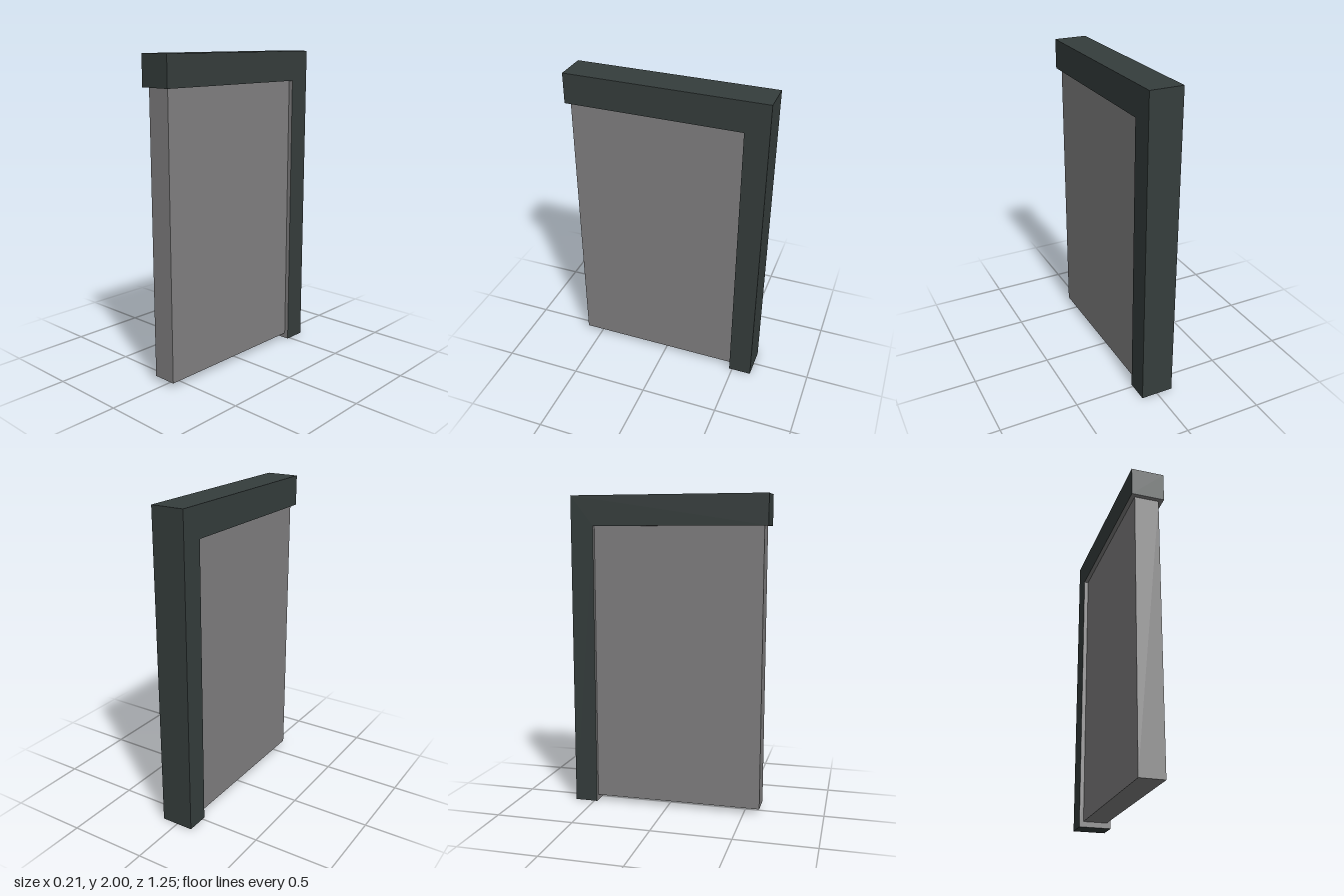
import * as THREE from 'three';

export function createModel() {
  const model = new THREE.Group();
  const dark = new THREE.MeshStandardMaterial({ color: 0x353d3c });
  dark.name = 'dark slate';
  const grey = new THREE.MeshStandardMaterial({ color: 0x807f80 });
  grey.name = 'mid grey';

  const halfWidth = 0.105, halfDepth = 0.627, height = 2;
  const beamBottom = 1.81, postFront = -0.48;

  // L-shaped frame: rear post and overhead beam, profile drawn in (-z, y)
  const profile = new THREE.Shape([
    [-halfDepth, beamBottom], [-postFront, beamBottom], [-postFront, 0],
    [halfDepth, 0], [halfDepth, height], [-halfDepth, height],
  ].map(([u, v]) => new THREE.Vector2(u, v)));
  const frameGeometry = new THREE.ExtrudeGeometry(profile, { depth: 2 * halfWidth, bevelEnabled: false });
  frameGeometry.translate(0, 0, -halfWidth).rotateY(Math.PI / 2);

  // The two inner faces of the L are grey, the rest dark
  const pos = frameGeometry.attributes.position, normal = frameGeometry.attributes.normal;
  frameGeometry.clearGroups();
  for (let i = 0; i < pos.count; i += 3) {
    const beamUnderside = normal.getY(i) < -0.9 && pos.getY(i) > 1;
    const postInside = normal.getZ(i) > 0.9 && pos.getZ(i) < 0;
    frameGeometry.addGroup(i, 3, beamUnderside || postInside ? 1 : 0);
  }
  const frame = new THREE.Mesh(frameGeometry, [dark, grey]);
  frame.name = 'frame';
  model.add(frame);

  // Panel held inside the frame, slightly narrower and clear of the ground
  const bottom = 0.035, front = 0.6;
  const panel = new THREE.Mesh(
    new THREE.BoxGeometry(0.156, beamBottom - bottom, front - postFront), grey);
  panel.position.set(0, (beamBottom + bottom) / 2, (front + postFront) / 2);
  panel.name = 'panel';
  model.add(panel);

  return model;
}
